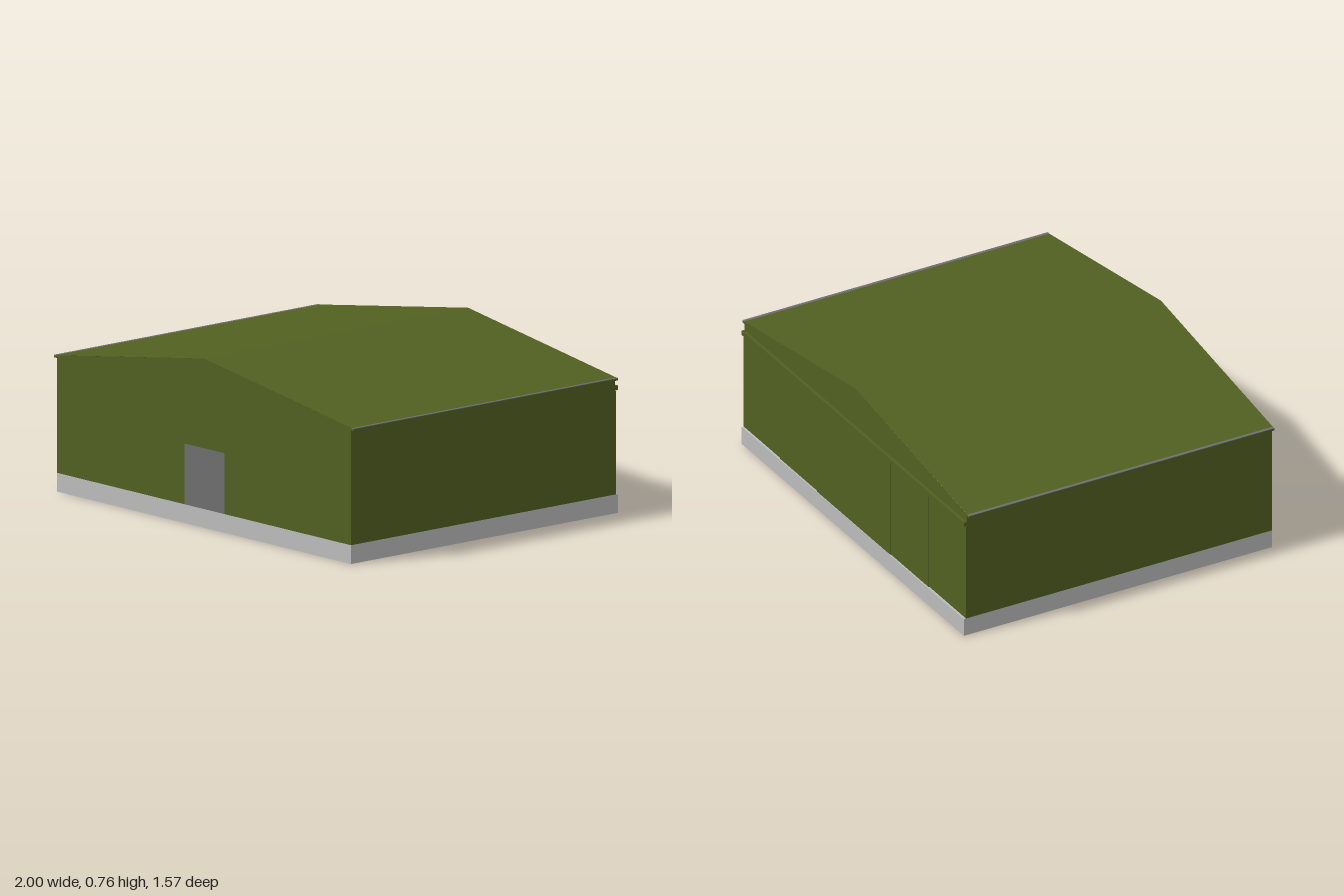
import * as THREE from 'three';

const W = 0.98, FRONT = 0.785, BACK = -0.77, SILL = 0.085, EAVE = 0.615, RIDGE = 0.765;

export function createModel() {
  const mat = (name, color) => {
    const m = new THREE.MeshStandardMaterial({ color, side: THREE.DoubleSide });
    m.name = name;
    return m;
  };
  const green = mat('olive green', 0x526021);
  const concrete = mat('concrete', 0xbcbcbc);
  const grey = mat('mid grey', 0x6e6e6e);

  const model = new THREE.Group();
  model.name = 'hangar';

  const add = (name, geometry, material, x = 0, y = 0, z = 0) => {
    const mesh = new THREE.Mesh(geometry, material);
    mesh.name = name;
    mesh.position.set(x, y, z);
    model.add(mesh);
    return mesh;
  };
  const box = (name, material, x0, x1, y0, y1, z0, z1) =>
    add(name, new THREE.BoxGeometry(x1 - x0, y1 - y0, z1 - z0), material,
      (x0 + x1) / 2, (y0 + y1) / 2, (z0 + z1) / 2);

  // Flat four-cornered panel, corners counter-clockwise from outside
  const quad = (name, material, a, b, c, d) => {
    const g = new THREE.BufferGeometry();
    g.setAttribute('position', new THREE.Float32BufferAttribute([...a, ...b, ...c, ...a, ...c, ...d], 3));
    g.computeVertexNormals();
    return add(name, g, material);
  };

  // Gable outline, and the doorway with softened top corners
  const gable = () => new THREE.Shape([[-W, SILL], [W, SILL], [W, EAVE], [0, RIDGE], [-W, EAVE]]
    .map(([x, y]) => new THREE.Vector2(x, y)));
  const doorway = [[-0.13, SILL], [0.138, SILL], [0.138, 0.355], [0.133, 0.36], [-0.125, 0.36], [-0.13, 0.355]]
    .map(([x, y]) => new THREE.Vector2(x, y));

  // Front wall with its door
  const frontShape = gable();
  frontShape.holes.push(new THREE.Path(doorway));
  add('frontWall', new THREE.ShapeGeometry(frontShape), green, 0, 0, FRONT);
  add('frontDoor', new THREE.ShapeGeometry(new THREE.Shape(doorway)), grey, 0, 0, FRONT);

  // Back wall
  add('backWall', new THREE.ShapeGeometry(gable()), green, 0, 0, BACK).rotation.y = Math.PI;

  // Open concrete plinth: front, back and the ledge carrying the sliding doors
  quad('plinthFront', concrete, [-W, 0, FRONT], [W, 0, FRONT], [W, SILL, FRONT], [-W, SILL, FRONT]);
  quad('plinthBack', concrete, [W, 0, -FRONT], [-W, 0, -FRONT], [-W, SILL, -FRONT], [W, SILL, -FRONT]);
  quad('plinthLedge', concrete, [-W, SILL, BACK], [W, SILL, BACK], [W, SILL, -FRONT], [-W, SILL, -FRONT]);

  for (const s of [1, -1]) {
    const side = s > 0 ? 'left' : 'right';
    // z ends swap with the side so every panel faces outwards
    const side4 = (name, material, xl, yl, xh, yh, back = BACK) => {
      const near = s > 0 ? FRONT : back, far = s > 0 ? back : FRONT;
      quad(side + name, material, [s * xl, yl, near], [s * xl, yl, far], [s * xh, yh, far], [s * xh, yh, near]);
    };
    side4('Plinth', concrete, W, 0, W, SILL, -FRONT);
    side4('Wall', green, W, SILL, W, EAVE);
    side4('RoofSlope', green, 0.985, EAVE, 0, RIDGE);

    // Eave gutter with a grey top
    const gx = [s * 0.98, s * 1].sort((a, b) => a - b);
    box(side + 'Gutter', green, gx[0], gx[1], 0.604, 0.612, BACK, FRONT);
    const tx = [s * 0.985, s * 1].sort((a, b) => a - b);
    box(side + 'GutterTop', grey, tx[0], tx[1], 0.612, 0.615, BACK, FRONT);

    // Sliding back doors, stepping outwards towards the middle
    [[0, 0.322, 0.782], [0.322, 0.655, 0.778], [0.655, W, 0.774]].forEach(([a, b, z], i) => {
      const x = [s * a, s * b].sort((p, q) => p - q);
      box(`${side}SlidingDoor${i + 1}`, green, x[0], x[1], SILL, 0.552, -z, BACK);
    });
  }

  // Rail above the sliding doors
  box('doorRail', green, -W, W, 0.555, 0.576, -FRONT, BACK);

  return model;
}
